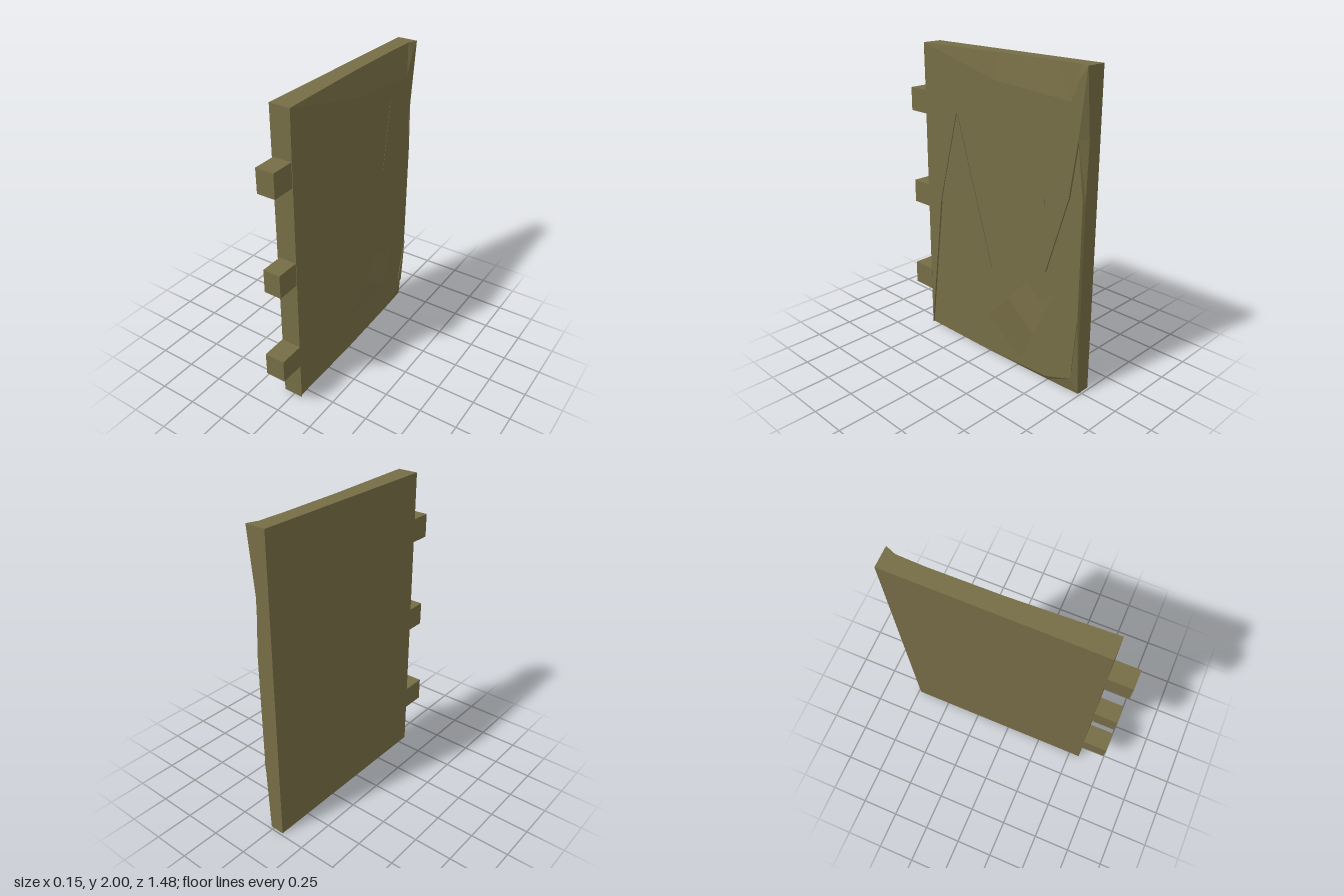
import * as THREE from 'three';

// Outlines are given as [h, y] on the broad +x side, where h = -z.
const v2 = pts => pts.map(([h, y]) => new THREE.Vector2(h, y));

export function createModel() {
  const group = new THREE.Group();
  const material = new THREE.MeshStandardMaterial({ color: 0x766d45, side: THREE.DoubleSide, flatShading: true });
  const add = (name, geometry) => {
    const mesh = new THREE.Mesh(geometry, material);
    mesh.name = name;
    group.add(mesh);
  };

  // Non-indexed geometry from triangles of [x, h, y] corners
  const fromTriangles = tris => {
    const geo = new THREE.BufferGeometry();
    const pos = tris.flat().flatMap(([x, h, y]) => [x, y, -h]);
    geo.setAttribute('position', new THREE.Float32BufferAttribute(pos, 3));
    geo.computeVertexNormals();
    return geo;
  };
  const fill = (pts, flip = false) =>
    THREE.ShapeUtils.triangulateShape(v2(pts.map(p => [p[1], p[2]])), [])
      .map(t => (flip ? [t[2], t[1], t[0]] : t).map(i => pts[i]));

  // Thin layer of stone lying on the broad face between two depths
  const layer = (name, x0, x1, pts) => {
    const geo = new THREE.ExtrudeGeometry(new THREE.Shape(v2(pts)), { depth: x1 - x0, bevelEnabled: false });
    geo.rotateY(Math.PI / 2).translate(x0, 0, 0);
    add(name, geo);
  };

  // Slab: rim point [h, y], depth of the rim, then the chipped face edge [x, h, y]
  const FACE = 0.047, TOP = 0.06, BACK = -0.075;
  const rim = [
    [-0.575, 0, FACE, FACE, -0.575, 0],
    [0, 0, 0.045, FACE, 0, 0.005],
    [0.5, 0, 0.03, FACE, 0.5, 0.03],
    [0.735, 0, 0.02, FACE, 0.69, 0.1],
    [0.735, 0.5, 0.03, FACE, 0.728, 0.5],
    [0.735, 1.25, 0.03, FACE, 0.728, 1.25],
    [0.735, 1.6, 0.02, TOP, 0.69, 1.6],
    [0.735, 2, TOP, TOP, 0.735, 2],
    [0.67, 2, 0.035, TOP, 0.68, 1.92],
    [0.5, 2, 0.03, TOP, 0.63, 1.8],
    [0.06, 2, 0.035, TOP, 0.06, 1.84],
    [-0.575, 2, TOP, TOP, -0.575, 2],
  ];
  const loops = [
    rim.map(r => [BACK, r[0], r[1]]),
    rim.map(r => [r[2], r[0], r[1]]),
    rim.map(r => [r[3], r[4], r[5]]),
  ];
  const tris = [
    ...fill(loops[0], true),
    ...fill(loops[2].map(([, h, y]) => [FACE, h, y])),
  ];
  for (let k = 0; k < 2; k++) {
    rim.forEach((_, i) => {
      const j = (i + 1) % rim.length;
      const [a, b, c, d] = [loops[k][i], loops[k][j], loops[k + 1][j], loops[k + 1][i]];
      tris.push([a, b, c], [a, c, d]);
    });
  }
  add('doorSlab', fromTriangles(tris));

  // Upper layer with a jagged broken lower edge
  layer('upperFaceLayer', FACE, 0.0585, [
    [-0.575, 0], [-0.45, 0.97], [-0.285, 1.59], [0.05, 1.39], [0.48, 0.75], [0.64, 1.26],
    [0.69, 1.6], [0.735, 2], [0.68, 1.92], [0.63, 1.8], [0.06, 1.84], [-0.575, 2],
  ]);
  layer('raisedFlake', 0.058, TOP, [
    [0.43, 1.7], [0.37, 1.25], [0.46, 1.1], [0.46, 1.24], [0.64, 1.26], [0.69, 1.6],
  ]);
  layer('wedgeFlake', FACE, 0.052, [[-0.45, 0.97], [0.02, 0.63], [-0.285, 1.59]]);
  layer('cornerFlake', FACE, 0.052, [[0.66, 0.19], [0.7, 0.16], [0.728, 0.5]]);

  // Lifted chip: two panels meeting along a raised crease
  const creaseA = [0.07, 0.19, 0.475], creaseB = [0.066, 0.4, 0.3];
  add('liftedChip', fromTriangles([
    ...fill([[0.048, -0.01, 0.275], [0.048, 0.28, 0.06], creaseB, creaseA]),
    ...fill([creaseA, creaseB, [0.05, 0.55, 0.63], [0.05, 0.43, 0.54], [0.05, 0.33, 0.63]]),
  ]));

  // Hinge blocks along the front edge: x range, y range, outer z
  [
    [-0.075, 0.06, 0.27, 0.425, 0.74],
    [-0.06, 0.055, 0.895, 1.05, 0.725],
    [-0.065, 0.055, 1.54, 1.695, 0.725],
  ].forEach(([x0, x1, y0, y1, z1], i) => {
    const geo = new THREE.BoxGeometry(x1 - x0, y1 - y0, z1 - 0.57);
    geo.translate((x0 + x1) / 2, (y0 + y1) / 2, (z1 + 0.57) / 2);
    add(`hingeBlock${i + 1}`, geo);
  });

  return group;
}
